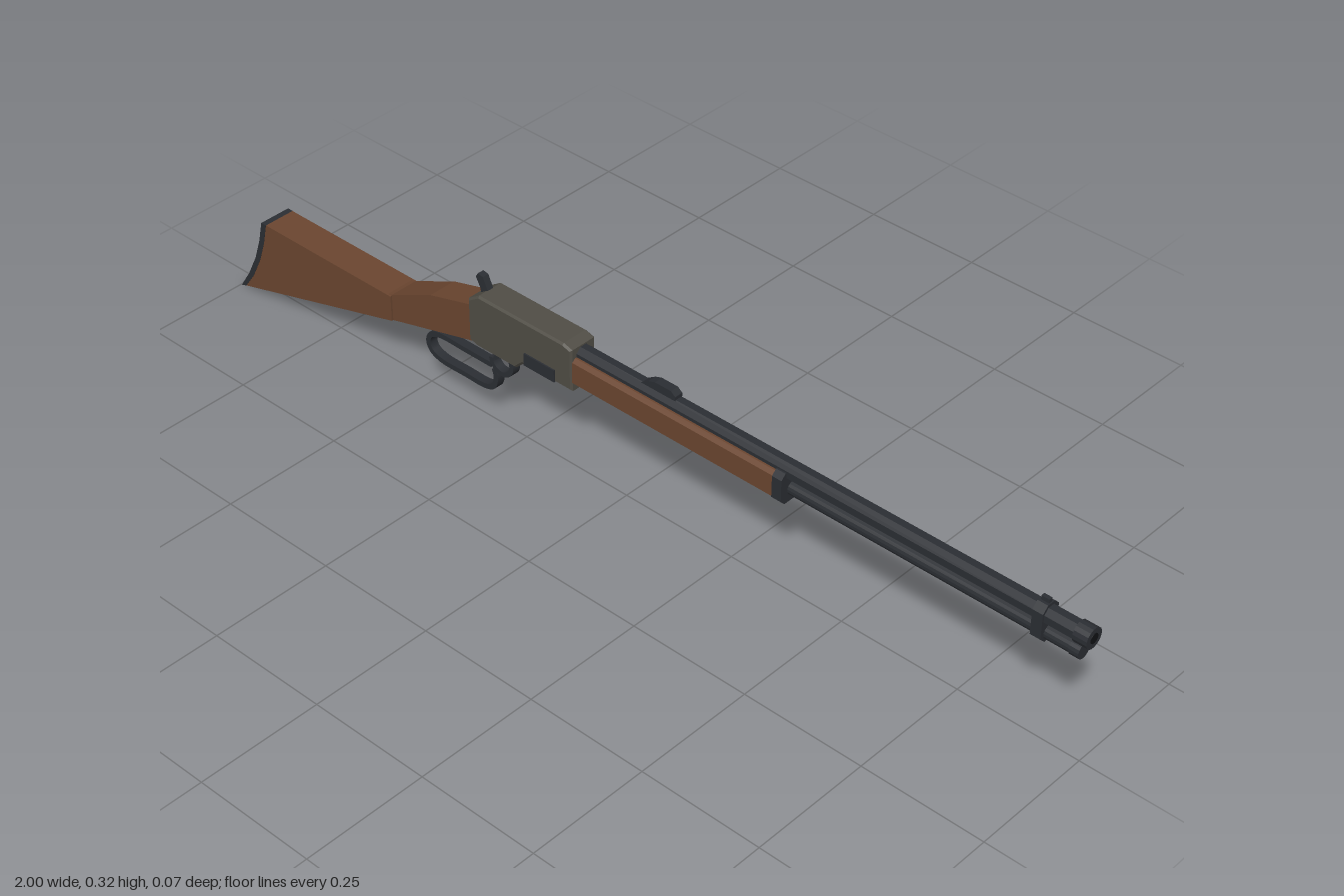
import * as THREE from 'three';

const mat = (color) => new THREE.MeshStandardMaterial({ color, flatShading: true, side: THREE.DoubleSide });
const WOOD = mat(0x6b4630), STEEL = mat(0x2b2e33), FRAME = mat(0x504d45), BORE = mat(0x101114);

export function createModel() {
  const root = new THREE.Group();
  const add = (name, geo, material, x = 0, y = 0, z = 0) => {
    const mesh = new THREE.Mesh(geo, material);
    mesh.name = name;
    mesh.position.set(x, y, z);
    root.add(mesh);
    return mesh;
  };
  const shapeOf = (pts) => new THREE.Shape(pts.map(([x, y]) => new THREE.Vector2(x, y)));
  // Side profile in x/y, given a width across z
  const slab = (pts, width, bevel = 0) => {
    const depth = width - 2 * bevel;
    return new THREE.ExtrudeGeometry(shapeOf(pts), {
      depth, bevelEnabled: bevel > 0, bevelSize: bevel, bevelThickness: bevel, bevelOffset: -bevel, bevelSegments: 1,
    }).translate(0, 0, -depth / 2);
  };
  // Cross-section in z/y, run along x
  const bar = (pts, x0, x1) => new THREE.ExtrudeGeometry(shapeOf(pts), { depth: x1 - x0, bevelEnabled: false })
    .rotateY(Math.PI / 2).translate(x0, 0, 0);
  // Round rod along x
  const rod = (name, r, x0, x1, y, material = STEEL, sides = 16) =>
    add(name, new THREE.CylinderGeometry(r, r, x1 - x0, sides).rotateY(Math.PI / sides).rotateZ(Math.PI / 2), material, (x0 + x1) / 2, y);
  // Flat strap following a path in x/y
  const strap = (pts, thick, width) => {
    const curve = new THREE.CatmullRomCurve3(pts.map(([x, y]) => new THREE.Vector3(x, y, 0)), false, 'centripetal');
    const left = [], right = [];
    for (let i = 0; i <= 64; i++) {
      const p = curve.getPoint(i / 64), t = curve.getTangent(i / 64);
      left.push([p.x - t.y * thick / 2, p.y + t.x * thick / 2]);
      right.unshift([p.x + t.y * thick / 2, p.y - t.x * thick / 2]);
    }
    return slab([...left, ...right], width);
  };

  // Shoulder stock, wrist and curved butt plate
  const butt = [[-0.998, 0], [-0.972, 0.04], [-0.948, 0.088], [-0.932, 0.135], [-0.922, 0.18]];
  const inner = butt.map(([x, y], i) => [x + 0.013, y + (i === 0 ? 0.004 : 0)]);
  add('stock', slab([...inner, [-0.565, 0.18], [-0.565, 0.125]], 0.068), WOOD);
  add('wrist', slab([[-0.575, 0.122], [-0.575, 0.18], [-0.565, 0.182], [-0.46, 0.232], [-0.355, 0.262], [-0.355, 0.182]], 0.06), WOOD);
  add('buttPlate', slab([...butt, ...inner.slice().reverse()], 0.069), STEEL);

  // Receiver with loading gate and pins
  add('receiver', slab([[-0.362, 0.182], [-0.362, 0.272], [-0.335, 0.29], [-0.125, 0.29], [-0.104, 0.284],
    [-0.104, 0.195], [-0.225, 0.195], [-0.245, 0.176], [-0.34, 0.176]], 0.062, 0.004), FRAME);
  add('loadingGate', new THREE.BoxGeometry(0.075, 0.026, 0.006), STEEL, -0.182, 0.21, 0.031);
  for (const [x, y] of [[-0.2, 0.247], [-0.31, 0.22]]) {
    add('receiverPin', new THREE.CylinderGeometry(0.004, 0.004, 0.006, 10).rotateX(Math.PI / 2), STEEL, x, y, -0.031);
  }

  // Hammer
  add('hammer', slab([[-0.345, 0.26], [-0.353, 0.29], [-0.363, 0.308], [-0.358, 0.317], [-0.345, 0.315],
    [-0.336, 0.295], [-0.322, 0.265]], 0.014), STEEL);

  // Fore-end and its cap
  const section = (w, bottom, top, c) => [[-w + c, bottom], [w - c, bottom], [w, bottom + c], [w, top - c],
    [w - c, top], [-w + c, top], [-w, top - c], [-w, bottom + c]];
  add('foreEnd', bar(section(0.028, 0.206, 0.264, 0.007), -0.106, 0.362), WOOD);
  add('foreEndCap', bar(section(0.03, 0.203, 0.268, 0.01), 0.36, 0.381), STEEL);

  // Barrel and magazine tube
  rod('barrel', 0.0185, -0.106, 0.995, 0.264, STEEL, 8);
  rod('muzzleRing', 0.0205, 0.972, 1, 0.264);
  rod('bore', 0.01, 0.99, 1.0008, 0.264, BORE);
  rod('magazineTube', 0.014, 0.37, 0.975, 0.228);
  rod('magazineCap', 0.0155, 0.965, 0.984, 0.228);
  add('barrelBand', bar(section(0.021, 0.211, 0.287, 0.012), 0.894, 0.915), STEEL);

  // Sights
  add('frontSight', new THREE.BoxGeometry(0.016, 0.014, 0.008), STEEL, 0.905, 0.288);
  add('rearSight', slab([[0.04, 0.278], [0.06, 0.291], [0.075, 0.296], [0.112, 0.296], [0.122, 0.288], [0.122, 0.278]], 0.018), STEEL);

  // Lever: finger loop, trigger guard ring and trigger
  add('leverLoop', strap([[-0.322, 0.122], [-0.318, 0.104], [-0.325, 0.083], [-0.345, 0.073], [-0.4, 0.072], [-0.465, 0.073],
    [-0.488, 0.083], [-0.495, 0.1], [-0.488, 0.118], [-0.465, 0.128], [-0.4, 0.129], [-0.33, 0.129]], 0.011, 0.018), STEEL);
  const ring = [];
  for (let i = 0; i <= 16; i++) {
    const a = 2.1 - (i / 16) * 5.2;
    ring.push([-0.303 + 0.026 * Math.cos(a), 0.148 + 0.026 * Math.sin(a)]);
  }
  add('triggerGuard', strap(ring, 0.01, 0.018), STEEL);
  add('trigger', strap([[-0.312, 0.18], [-0.311, 0.163], [-0.316, 0.152], [-0.326, 0.143]], 0.008, 0.01), STEEL);
  return root;
}
